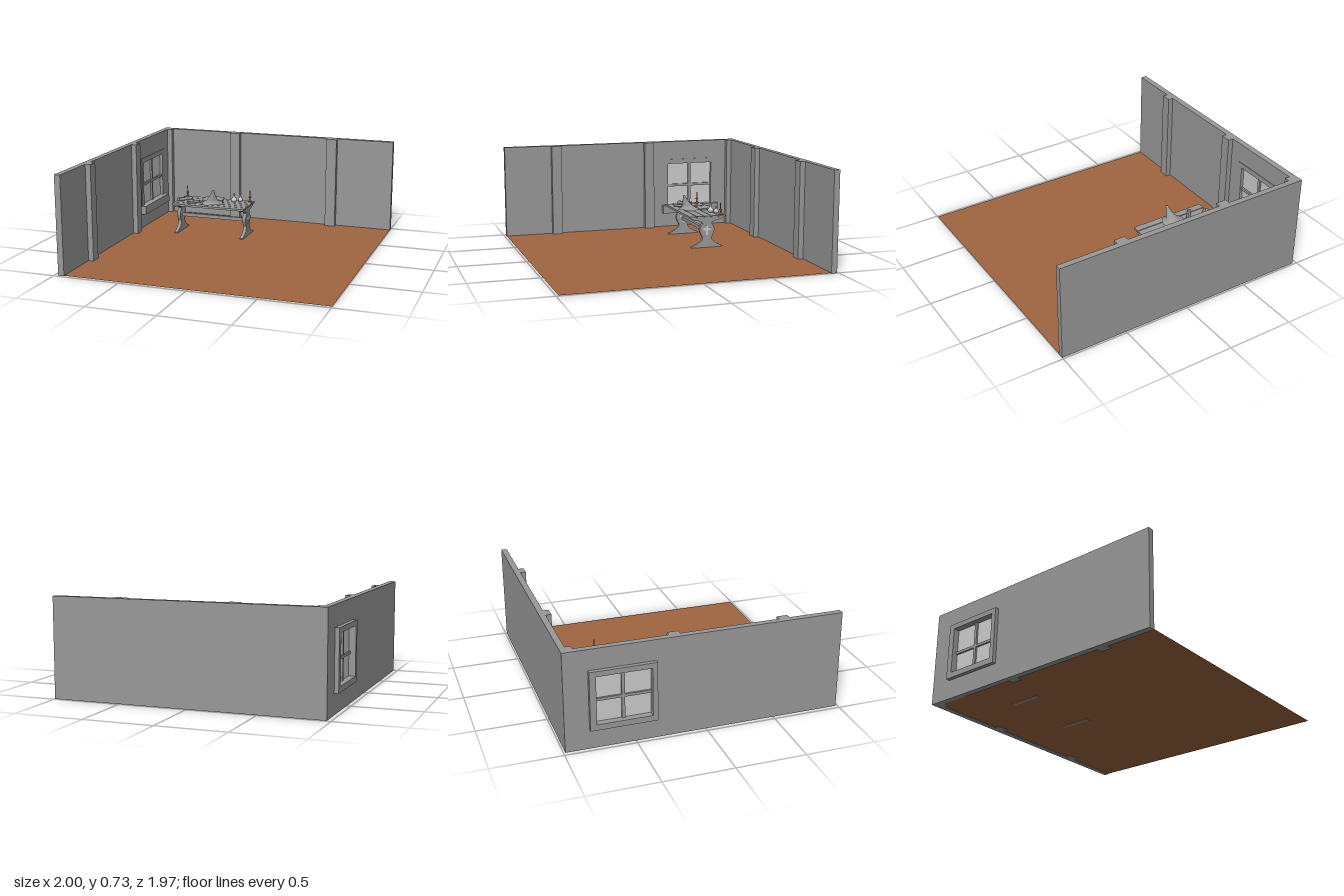
import * as THREE from 'three';

const mat = (name, color, opts = {}) => {
  const m = new THREE.MeshStandardMaterial({ color, ...opts });
  m.name = name;
  return m;
};

export function createModel() {
  const root = new THREE.Group();
  root.name = 'room';
  const grey = mat('plain grey', 0x999999);
  const cloth = mat('hat grey', 0x999999, { side: THREE.DoubleSide });
  const pale = mat('pale glass', 0xcccccc);
  const wood = mat('floor brown', 0xa06540, { side: THREE.DoubleSide });
  const copper = mat('copper', 0xa45a2a);

  const add = (name, geo, m, parent = root) => {
    const mesh = new THREE.Mesh(geo, m);
    mesh.name = name;
    parent.add(mesh);
    return mesh;
  };
  // Box given by its limits on each axis
  const box = (name, [x0, x1], [y0, y1], [z0, z1], m = grey, parent = root) => {
    const b = add(name, new THREE.BoxGeometry(x1 - x0, y1 - y0, z1 - z0), m, parent);
    b.position.set((x0 + x1) / 2, (y0 + y1) / 2, (z0 + z1) / 2);
    return b;
  };
  // Outline in (z, y), extruded from x0 to x1
  const slab = (name, shape, x0, x1, parent = root) => {
    const g = new THREE.ExtrudeGeometry(shape, { depth: x1 - x0, bevelEnabled: false, curveSegments: 8 });
    g.rotateY(-Math.PI / 2);
    g.translate(x1, 0, 0);
    return add(name, g, grey, parent);
  };
  const rect = (T, z0, z1, y0, y1) => {
    const s = new T();
    s.moveTo(z0, y0).lineTo(z1, y0).lineTo(z1, y1).lineTo(z0, y1).closePath();
    return s;
  };
  const lathe = (name, pts, m, x, y, z, n, parent) => {
    const l = add(name, new THREE.LatheGeometry(pts.map(p => new THREE.Vector2(...p)), n), m, parent);
    l.position.set(x, y, z);
    return l;
  };

  // Floor and walls
  const H = 0.725;
  const floor = add('floor', new THREE.PlaneGeometry(1.97, 1.97).rotateX(-Math.PI / 2), wood);
  floor.position.set(0.015, 0.004, 0);
  box('backWall', [-0.97, 1], [0, H], [-0.988, -0.945]);
  const wall = rect(THREE.Shape, -0.945, 0.985, 0, H);
  wall.holes.push(rect(THREE.Path, -0.775, -0.39, 0.187, 0.537));
  slab('sideWall', wall, -0.97, -0.925);

  // Pillars
  box('cornerPillar', [-0.925, -0.885], [0, H], [-0.945, -0.905]);
  for (const z of [-0.257, 0.53]) box('sidePillar', [-0.925, -0.885], [0, H], [z, z + 0.079]);
  for (const x of [-0.36, 0.465]) box('backPillar', [x, x + 0.083], [0, H], [-0.945, -0.905]);

  // Window
  const win = new THREE.Group();
  win.name = 'window';
  root.add(win);
  const frame = rect(THREE.Shape, -0.82, -0.355, 0.145, 0.575);
  frame.holes.push(rect(THREE.Path, -0.775, -0.39, 0.187, 0.537));
  slab('windowFrame', frame, -1, -0.92, win);
  box('glass', [-0.952, -0.944], [0.187, 0.537], [-0.775, -0.39], pale, win);
  box('verticalBar', [-0.965, -0.93], [0.187, 0.537], [-0.594, -0.572], grey, win);
  box('crossBar', [-0.965, -0.93], [0.342, 0.362], [-0.775, -0.39], grey, win);
  box('windowSill', [-0.925, -0.885], [0.12, 0.187], [-0.828, -0.338], grey, win);

  // Table top: planks over a thin board
  const table = new THREE.Group();
  table.name = 'table';
  root.add(table);
  const zc = -0.413;
  box('underBoard', [-0.62, -0.035], [0.234, 0.24], [-0.555, -0.271], grey, table);
  for (let i = 0; i < 5; i++) {
    const z = -0.56 + i * 0.0592;
    box('plank', [-0.627, -0.03], [0.237, 0.25], [z, z + 0.0532], grey, table);
  }

  // Trestles with curved outlines and cross inlays
  const side = [[0.125, 0.012], [0.09, 0.028], [0.055, 0.048], [0.036, 0.08], [0.048, 0.105], [0.06, 0.14],
    [0.052, 0.172], [0.038, 0.193], [0.06, 0.21], [0.105, 0.22], [0.135, 0.236]];
  const curve = new THREE.SplineCurve(side.map(p => new THREE.Vector2(...p))).getPoints(40);
  const outline = [new THREE.Vector2(0.125, 0), ...curve];
  const mirrored = outline.map(p => new THREE.Vector2(-p.x, p.y)).reverse();
  const trestle = new THREE.Shape([...outline, ...mirrored].map(p => new THREE.Vector2(p.x + zc, p.y)));
  for (const x of [-0.615, -0.062]) {
    slab('trestle', trestle, x, x + 0.026, table);
    for (const fx of [x - 0.001, x + 0.025]) {
      box('inlayUpright', [fx, fx + 0.002], [0.1, 0.175], [zc - 0.008, zc + 0.008], pale, table);
      for (const s of [-1, 1]) {
        const c = zc + s * 0.019;
        box('inlayArm', [fx, fx + 0.002], [0.138, 0.156], [c - 0.011, c + 0.011], pale, table);
      }
    }
  }
  box('stretcher', [-0.59, -0.06], [0.12, 0.147], [zc - 0.012, zc + 0.012], grey, table);

  // Candlesticks
  for (const x of [-0.595, -0.06]) {
    lathe('candlestick', [[0, 0], [0.015, 0], [0.015, 0.006], [0.006, 0.012], [0.005, 0.03], [0.011, 0.036],
      [0.011, 0.042], [0.004, 0.044], [0.004, 0.09], [0, 0.096]], copper, x, 0.25, -0.532, 12, root);
  }

  // Flasks
  const flask = [[0, 0], [0.016, 0], [0.024, 0.012], [0.022, 0.024], [0.009, 0.037], [0.007, 0.055], [0.01, 0.063], [0, 0.063]];
  lathe('flask', flask, pale, -0.182, 0.25, -0.495, 12, root);
  lathe('smallFlask', flask, pale, -0.138, 0.25, -0.525, 12, root).scale.setScalar(0.85);

  // Open book: two leaning halves
  for (const [x, z, w, d, ry, rz] of [[-0.383, -0.463, 0.088, 0.145, 0.1, 0.12], [-0.308, -0.485, 0.075, 0.11, 0.2, -0.12]]) {
    const half = add('bookHalf', new THREE.BoxGeometry(w, 0.012, d), grey);
    half.position.set(x, 0.263, z);
    half.rotation.set(0, ry, rz);
  }

  // Rolled scrolls
  for (const [x, z, r, len, a] of [[-0.575, -0.418, 0.012, 0.115, 0.87], [-0.472, -0.348, 0.008, 0.105, 0.87]]) {
    for (const s of [-1, 1]) {
      const roll = add('scroll', new THREE.CylinderGeometry(r, r, len, 10).rotateZ(Math.PI / 2), grey);
      roll.position.set(x + s * r * 0.8 * Math.sin(a), 0.25 + r, z + s * r * 0.8 * Math.cos(a));
      roll.rotation.y = a;
    }
  }

  // Pointed hat: rings [y, radius, centre x, centre z] with a wavy brim and bent tip
  const rings = [[0.254, 0.082, -0.318, -0.362], [0.266, 0.066, -0.318, -0.36], [0.278, 0.049, -0.316, -0.356],
    [0.296, 0.038, -0.311, -0.345], [0.322, 0.025, -0.304, -0.332], [0.35, 0.015, -0.298, -0.322],
    [0.372, 0.01, -0.292, -0.313], [0.377, 0.0005, -0.29, -0.311]];
  const N = 24;
  const hat = new THREE.CylinderGeometry(1, 1, 1, N, rings.length - 1, true);
  const p = hat.attributes.position;
  for (let i = 0; i < p.count; i++) {
    const row = rings.length - 1 - Math.floor(i / (N + 1));
    const a = ((i % (N + 1)) % N) / N * Math.PI * 2;
    const [y, r, cx, cz] = rings[row];
    const wave = row < 2 ? 0.005 * (1 + Math.sin(3 * a)) / (row + 1) : 0;
    p.setXYZ(i, cx + r * Math.sin(a), y + wave, cz + r * Math.cos(a));
  }
  hat.computeVertexNormals();
  add('hat', hat, cloth);

  return root;
}
